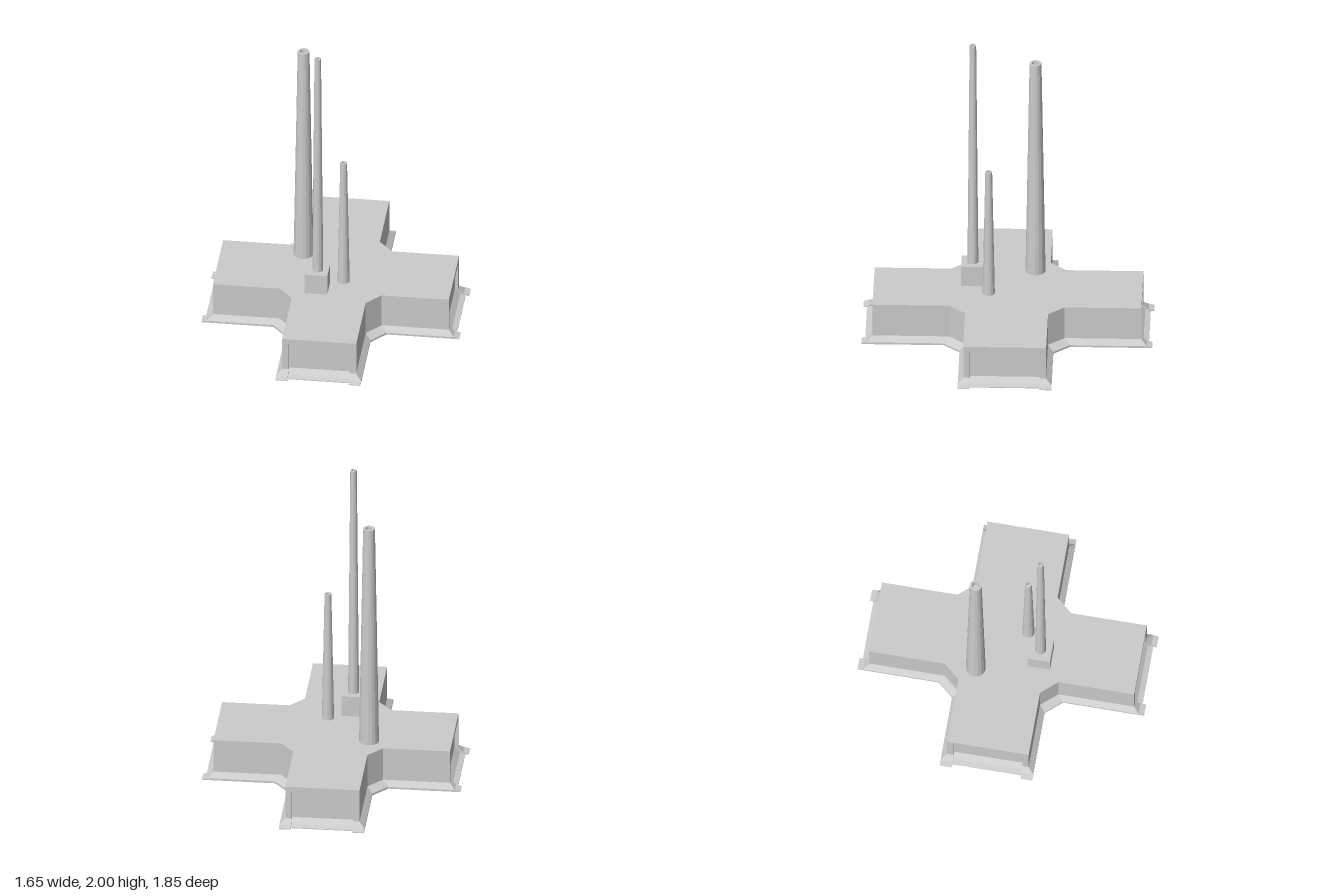
import * as THREE from 'three';

const material = new THREE.MeshStandardMaterial({ color: 0xcccccc, flatShading: true, side: THREE.DoubleSide });
const ROOF = 0.27;

// Plan of the cross: s widens the sides, e lengthens the arm ends, d recesses the end panels
function plan(s, e, d) {
  const x0 = -0.25 - s, x1 = 0.225 + s, z0 = -0.265 - s, z1 = 0.263 + s;
  const n = -0.857 - e, f = 0.855 + e, w = -0.768 - e, r = 0.746 + e;
  const cx = 0.09, cz = 0.103; // corner chamfers
  const px0 = -0.21, px1 = 0.185, pz = 0.222; // panel limits
  return [
    // front arm
    [x0, z1 + cz], [x0, f], [px0, f], [px0, f - d], [px1, f - d], [px1, f], [x1, f], [x1, z1 + cz],
    // left arm
    [x1 + cx, z1], [r, z1], [r, pz], [r - d, pz], [r - d, -pz], [r, -pz], [r, z0], [x1 + cx, z0],
    // back arm
    [x1, z0 - cz], [x1, n], [px1, n], [px1, n + d], [px0, n + d], [px0, n], [x0, n], [x0, z0 - cz],
    // right arm
    [x0 - cx, z0], [w, z0], [w, -pz], [w + d, -pz], [w + d, pz], [w, pz], [w, z1], [x0 - cx, z1],
  ];
}

// Flat-sided skin through successive closed rings, listed from top to bottom
function skin(rings) {
  const pos = [];
  const tri = (a, b, c) => {
    const t = new THREE.Triangle(new THREE.Vector3(...a), new THREE.Vector3(...b), new THREE.Vector3(...c));
    if (t.getArea() > 1e-7) pos.push(...a, ...b, ...c);
  };
  for (let k = 0; k < rings.length - 1; k++) {
    const [top, low] = [rings[k], rings[k + 1]].map(({ y, p }) => p.map(([x, z]) => [x, y, z]));
    top.forEach((a, i) => {
      const j = (i + 1) % top.length;
      tri(a, low[i], low[j]);
      tri(a, low[j], top[j]);
    });
  }
  const g = new THREE.BufferGeometry();
  g.setAttribute('position', new THREE.Float32BufferAttribute(pos, 3));
  g.computeVertexNormals();
  return g;
}

function add(group, name, geometry, x = 0, y = 0, z = 0) {
  const mesh = new THREE.Mesh(geometry, material);
  mesh.name = name;
  mesh.position.set(x, y, z);
  group.add(mesh);
}

// Tapered stack with a hollow mouth, open underneath
function chimney(group, name, x, z, bottom, top, rBottom, rTop) {
  const h = top - bottom;
  const profile = [[rBottom, 0], [rTop, h], [rTop * 0.6, h], [rTop * 0.5, h - 0.04], [0, h - 0.04]];
  const g = new THREE.LatheGeometry(profile.map(p => new THREE.Vector2(...p)), 16);
  add(group, name, g, x, bottom, z);
}

export function createModel() {
  const model = new THREE.Group();
  model.name = 'chimneyBuilding';
  const depth = 0.022;

  // Roof slab
  const shape = new THREE.Shape(plan(0, 0, 0).map(([x, z]) => new THREE.Vector2(x, -z)));
  add(model, 'roof', new THREE.ShapeGeometry(shape).rotateX(-Math.PI / 2), 0, ROOF, 0);

  // Walls with recessed end panels
  add(model, 'walls', skin([
    { y: ROOF, p: plan(0, 0, 0) },
    { y: 0.235, p: plan(0, 0, 0) },
    { y: 0.235, p: plan(0, 0, depth) },
    { y: 0.045, p: plan(0, 0, depth) },
  ]));

  // Flared skirt, running out further at the arm ends
  add(model, 'skirt', skin([
    { y: 0.045, p: plan(0, 0, depth) },
    { y: 0.013, p: plan(0.035, 0.035, depth) },
    { y: 0.005, p: plan(0.035, 0.07, depth) },
    { y: 0, p: plan(0.035, 0.07, depth) },
  ]));

  // Chimneys and the plinth under the tallest one
  add(model, 'plinth', new THREE.BoxGeometry(0.146, 0.14, 0.146), -0.103, ROOF + 0.07, 0.225);
  chimney(model, 'tallChimney', -0.1, 0.225, 0.41, 2, 0.035, 0.021);
  chimney(model, 'wideChimney', -0.24, -0.17, ROOF, 1.795, 0.064, 0.038);
  chimney(model, 'shortChimney', 0.053, 0.12, ROOF, 1.16, 0.039, 0.022);
  return model;
}
